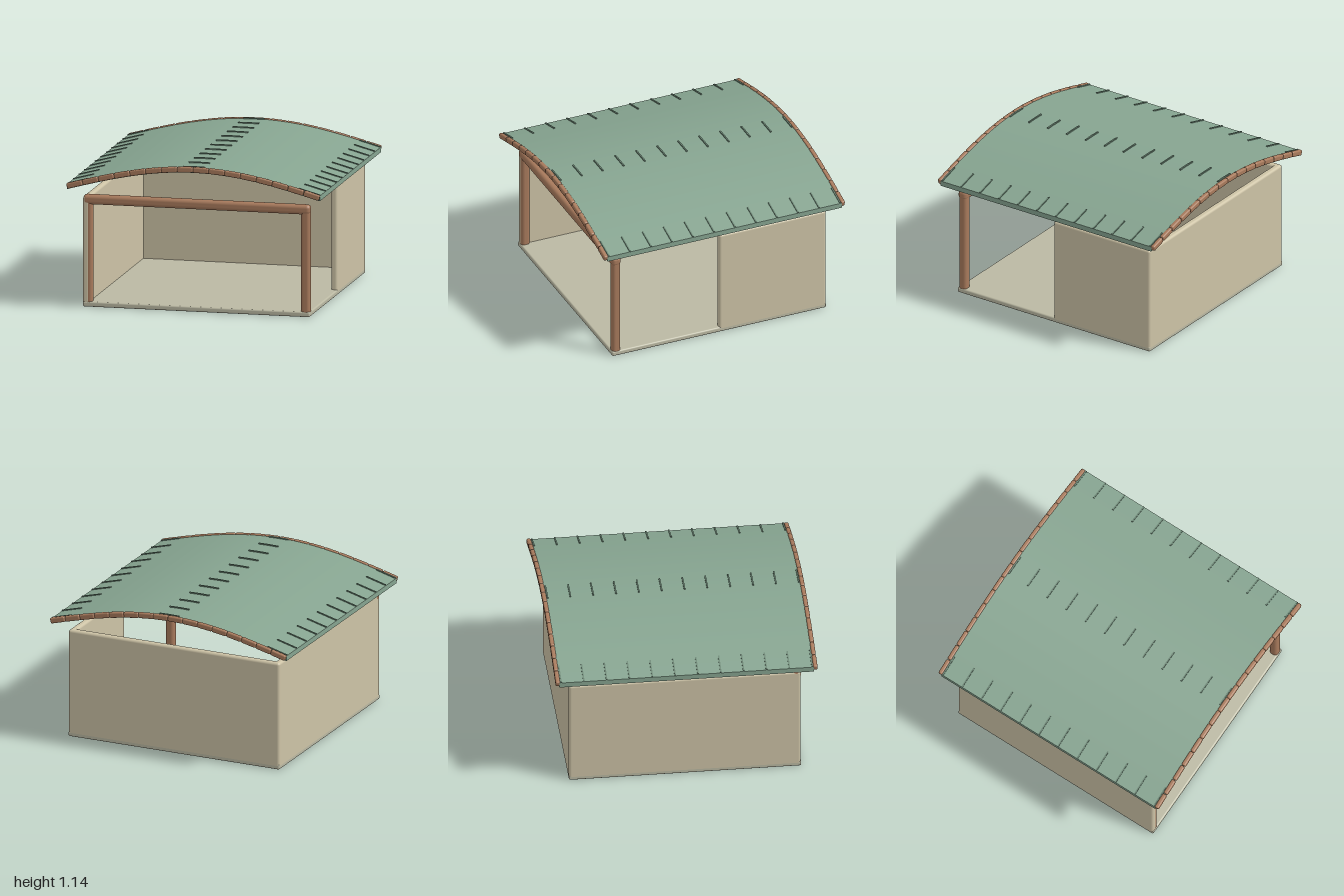
import * as THREE from 'three';
import { RoundedBoxGeometry } from 'three/addons/geometries/RoundedBoxGeometry.js';
import { toCreasedNormals } from 'three/addons/utils/BufferGeometryUtils.js';

const plaster = new THREE.MeshStandardMaterial({ color: 0xcdc3a6 });
const stone = new THREE.MeshStandardMaterial({ color: 0xbbb9a3 });
const wood = new THREE.MeshStandardMaterial({ color: 0xa87a5c });
const sheet = new THREE.MeshStandardMaterial({ color: 0x86a490 });
const ribGreen = new THREE.MeshStandardMaterial({ color: 0x6f8a78 });

const HALF = 0.985; // half width of the roof
const roofY = (x) => 0.945 + 0.172 * Math.cos((Math.PI / 2) * (x / HALF));

// Rounded block given by its min and max corners
function block(name, min, max, radius, material) {
  const size = max.map((v, i) => v - min[i]);
  const mesh = new THREE.Mesh(new RoundedBoxGeometry(...size, 3, radius), material);
  mesh.position.set(...max.map((v, i) => (v + min[i]) / 2));
  mesh.name = name;
  return mesh;
}

// Bar that follows the roof curve between x0 and x1
function roofBar(name, geometry, x0, x1, lift, z, material) {
  const y0 = roofY(x0), y1 = roofY(x1);
  const angle = Math.atan2(y1 - y0, x1 - x0);
  const mesh = new THREE.Mesh(geometry, material);
  mesh.position.set((x0 + x1) / 2, (y0 + y1) / 2 + lift, z);
  mesh.rotation.z = angle;
  mesh.name = name;
  return mesh;
}

function createRoof() {
  const roof = new THREE.Group();
  roof.name = 'roof';

  // Curved sheet
  const steps = 48;
  const top = [], bottom = [];
  for (let i = 0; i <= steps; i++) {
    const x = -HALF + (2 * HALF * i) / steps;
    top.push(new THREE.Vector2(x, roofY(x) + 0.014));
    bottom.unshift(new THREE.Vector2(x, roofY(x) - 0.026));
  }
  const geometry = new THREE.ExtrudeGeometry(new THREE.Shape([...bottom, ...top]), {
    depth: 1.94, bevelEnabled: false,
  });
  geometry.translate(0, 0, -0.97);
  const panel = new THREE.Mesh(toCreasedNormals(geometry, 0.5), sheet);
  panel.name = 'roofSheet';
  roof.add(panel);

  // Wooden edging of short rounded pieces on both gable ends
  const count = 16, step = (2 * HALF) / count;
  const piece = new RoundedBoxGeometry(step * 1.015, 0.044, 0.034, 3, 0.012);
  for (const z of [-0.981, 0.981]) {
    for (let i = 0; i < count; i++) {
      const x = -HALF + i * step;
      roof.add(roofBar('roofEdging', piece, x, x + step, 0, z, wood));
    }
  }

  // Thin ribs at the ridge and at both eaves
  const ridgeRib = new THREE.BoxGeometry(0.082, 0.022, 0.011);
  const eaveRib = new THREE.BoxGeometry(0.168, 0.022, 0.011);
  for (let i = 0; i < 12; i++) {
    const z = -0.957 + 0.174 * i;
    for (const s of [-1, 1]) {
      const ridge = s < 0 ? [-0.08, 0] : [0, 0.08];
      const eave = s < 0 ? [-0.982, -0.82] : [0.82, 0.982];
      roof.add(roofBar('ridgeRib', ridgeRib, ...ridge, 0.012, z, ribGreen));
      roof.add(roofBar('eaveRib', eaveRib, ...eave, 0.01, z, ribGreen));
    }
  }
  return roof;
}

export function createModel() {
  const model = new THREE.Group();
  model.name = 'shelter';

  model.add(
    block('floor', [-0.885, 0.0, -0.885], [0.885, 0.04, 0.885], 0.012, stone),
    // Full back and right walls, half wall on the left side
    block('backWall', [-0.885, 0.01, -0.885], [0.885, 0.855, -0.83], 0.02, plaster),
    block('rightWall', [-0.885, 0.01, -0.885], [-0.832, 0.855, 0.882], 0.02, plaster),
    block('leftHalfWall', [0.832, 0.01, -0.885], [0.885, 0.855, 0.0], 0.02, plaster),
    // Front frame
    block('frontBeam', [-0.885, 0.788, 0.81], [0.885, 0.863, 0.885], 0.028, wood),
  );
  for (const s of [-1, 1]) {
    const x = s * 0.847;
    model.add(block('frontPost', [x - 0.035, 0.01, 0.812], [x + 0.035, 0.83, 0.88], 0.025, wood));
  }

  model.add(createRoof());
  return model;
}
